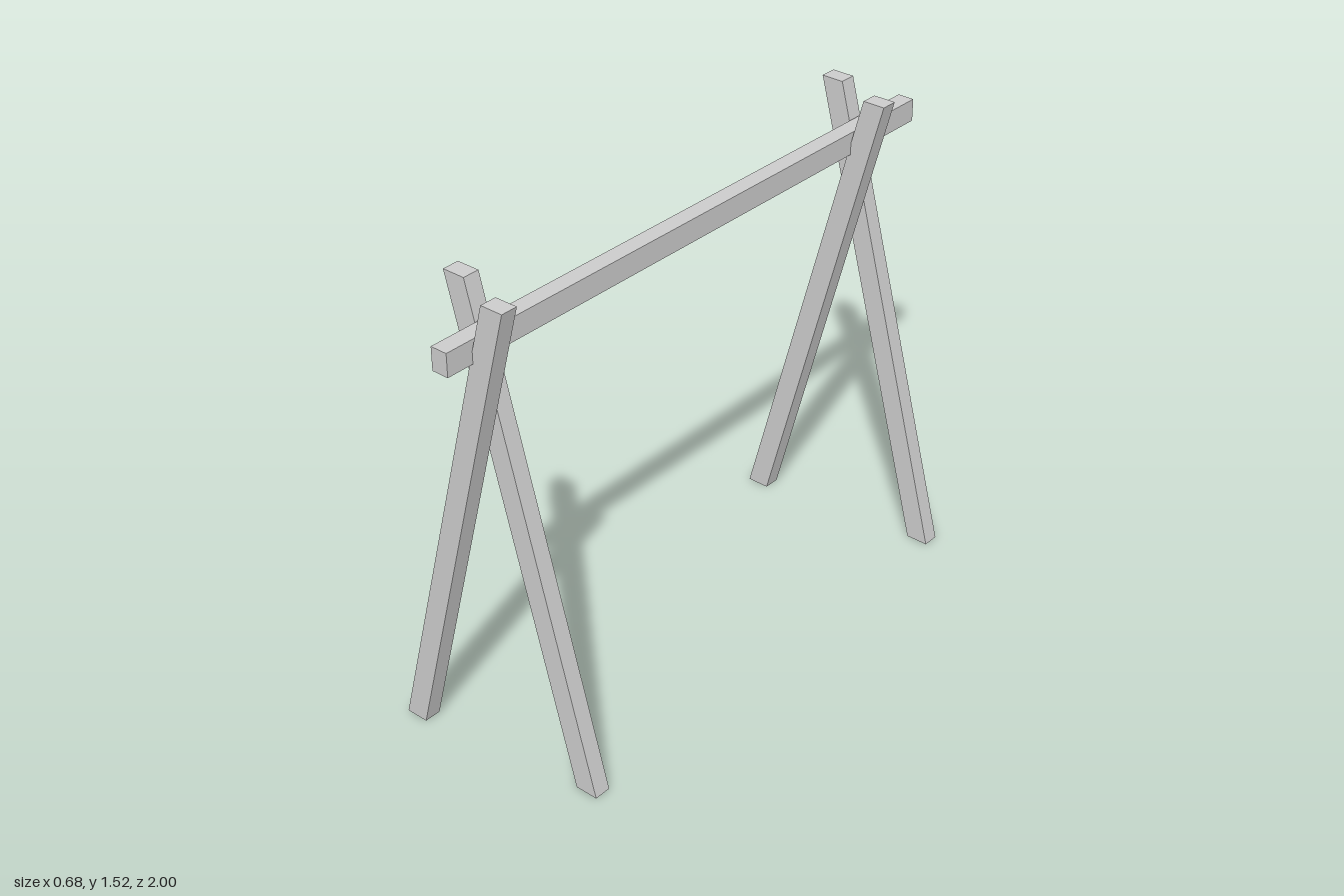
import * as THREE from 'three';

const HEIGHT = 1.518;
const LEG_WIDTH = 0.074;
const LEG_DEPTH = 0.054;
const FOOT_X = 0.303; // centre of the foot
const TIP_X = 0.104; // centre of the upper end, past the crossing

const material = new THREE.MeshStandardMaterial({ color: 0xcccccc, flatShading: true });

// Slanted post with level-cut ends: a box sheared sideways; side is the sign of the foot's x
function makeLeg(name, side, z) {
  const geometry = new THREE.BoxGeometry(LEG_WIDTH, HEIGHT, LEG_DEPTH);
  const shear = (-side * (TIP_X + FOOT_X)) / HEIGHT;
  geometry.applyMatrix4(new THREE.Matrix4().makeShear(0, 0, shear, 0, 0, 0));
  geometry.computeVertexNormals();
  const leg = new THREE.Mesh(geometry, material);
  leg.name = name;
  leg.position.set((side * (FOOT_X - TIP_X)) / 2, HEIGHT / 2, z);
  return leg;
}

// Two posts crossing side by side
function makeTrestle(name, z) {
  const trestle = new THREE.Group();
  trestle.name = name;
  trestle.position.z = z;
  trestle.add(makeLeg('rightLeg', -1, 0.037), makeLeg('leftLeg', 1, -0.037));
  return trestle;
}

export function createModel() {
  const model = new THREE.Group();
  model.name = 'crossLeggedFrame';

  model.add(makeTrestle('frontTrestle', 0.847), makeTrestle('backTrestle', -0.747));

  // Ridge beam resting in the crossings
  const beam = new THREE.Mesh(new THREE.BoxGeometry(0.055, 0.072, 2), material);
  beam.name = 'ridgeBeam';
  beam.position.y = 1.368;
  model.add(beam);

  return model;
}
